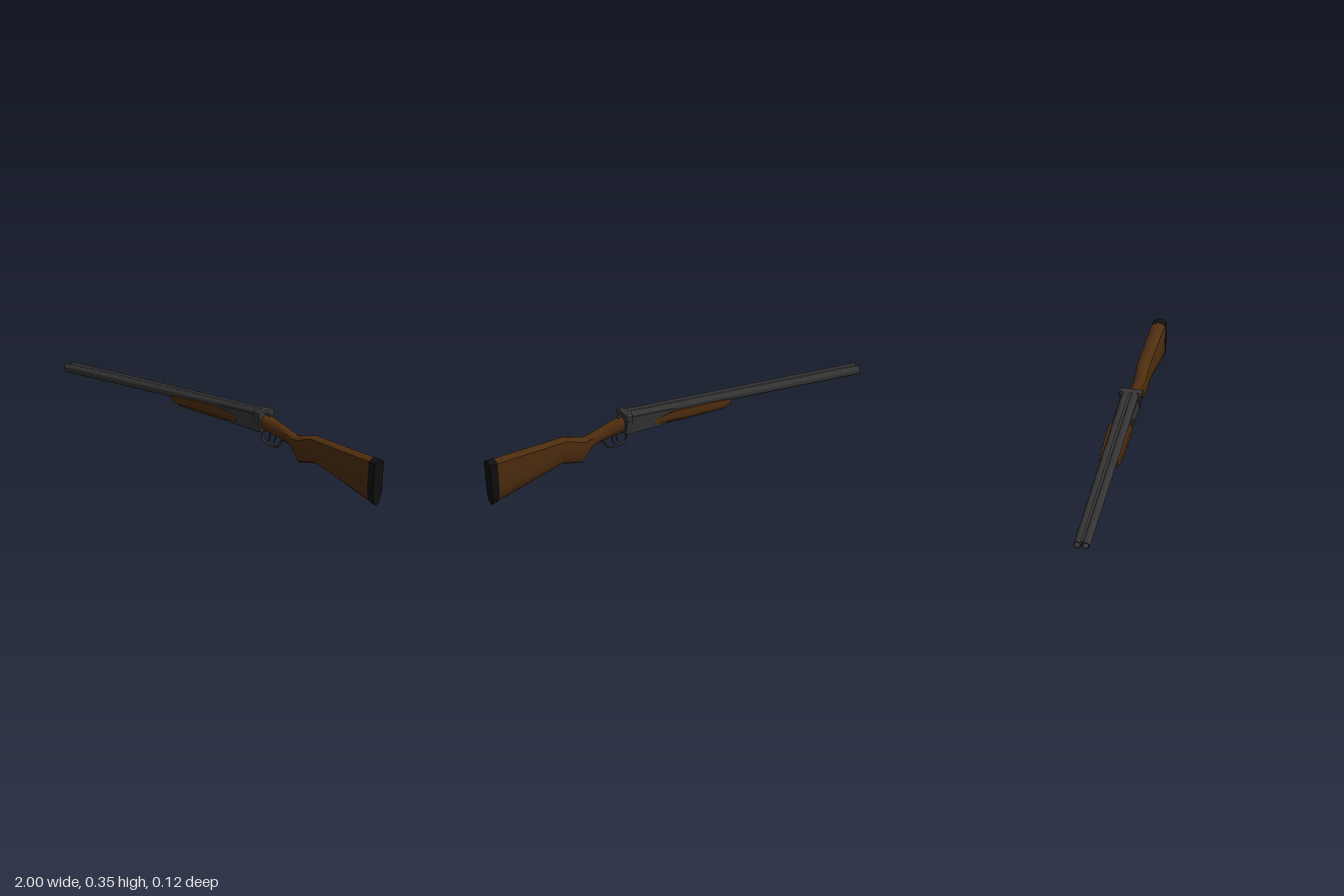
import * as THREE from 'three';
import { toCreasedNormals } from 'three/addons/utils/BufferGeometryUtils.js';

const material = (name, color) => {
  const m = new THREE.MeshStandardMaterial({ color });
  m.name = name;
  return m;
};

// Half outlines as [height 0..1, width 0..1], from the top edge to the bottom edge
const ROUND = Array.from({ length: 7 }, (_, k) => {
  const a = (Math.PI * k) / 6;
  return [0.5 + 0.5 * Math.cos(a), Math.sin(a)];
});
const BUTT = [[1, 0], [0.985, 0.5], [0.94, 1], [0.6, 1], [0.27, 1], [0.08, 0.62], [0, 0]];
const TROUGH = [[1, 0], [1, 0.5], [1, 0.93], [0.75, 1], [0.35, 0.95], [0.05, 0.65], [0, 0]];

// Skin closed sections along x. Station: [x at top, x at bottom, top, bottom, half width, blend]
function loft(stations, from, to) {
  const rings = stations.map(([xt, xb, top, bot, w, blend]) => {
    const half = from.map(([v, u], k) => {
      const h = v + (to[k][0] - v) * blend;
      const s = u + (to[k][1] - u) * blend;
      return new THREE.Vector3(xb + (xt - xb) * h, bot + (top - bot) * h, w * s);
    });
    const mirror = half.slice(1, -1).reverse().map((p) => new THREE.Vector3(p.x, p.y, -p.z));
    return [...half, ...mirror];
  });
  const pos = [];
  const tri = (...pts) => pts.forEach((p) => pos.push(p.x, p.y, p.z));
  const n = rings[0].length;
  for (let i = 0; i < rings.length - 1; i++) {
    for (let j = 0; j < n; j++) {
      const k = (j + 1) % n;
      const [a, b, c, d] = [rings[i][j], rings[i][k], rings[i + 1][j], rings[i + 1][k]];
      tri(a, b, c);
      tri(b, d, c);
    }
  }
  // End caps
  [rings[0], rings[rings.length - 1]].forEach((ring, end) => {
    const mid = ring.reduce((s, p) => s.add(p), new THREE.Vector3()).divideScalar(n);
    for (let j = 0; j < n; j++) {
      const k = (j + 1) % n;
      if (end) tri(mid, ring[j], ring[k]);
      else tri(mid, ring[k], ring[j]);
    }
  });
  const g = new THREE.BufferGeometry();
  g.setAttribute('position', new THREE.Float32BufferAttribute(pos, 3));
  return toCreasedNormals(g, 0.6);
}

const outline = (pts) => new THREE.Shape(pts.map(([x, y]) => new THREE.Vector2(x, y)));

export function createModel() {
  const metal = material('gunmetal', 0x343434);
  const wood = material('walnut', 0x4f2e0f);
  const rubber = material('black rubber', 0x101010);
  const model = new THREE.Group();
  const add = (name, geometry, mat) => {
    const mesh = new THREE.Mesh(geometry, mat);
    mesh.name = name;
    model.add(mesh);
    return mesh;
  };

  // Twin hollow barrels, side by side
  const bore = [[0, 0.05], [0.014, 0.05], [0.014, 0], [0.02, 0], [0.02, 1.25], [0, 1.25]];
  const barrel = toCreasedNormals(
    new THREE.LatheGeometry(bore.map(([r, l]) => new THREE.Vector2(r, -l)).reverse(), 20), 0.6);
  barrel.rotateZ(Math.PI / 2);
  for (const side of [1, -1]) {
    add(side > 0 ? 'frontBarrel' : 'backBarrel', barrel, metal).position.set(-1, 0.335, side * 0.0205);
  }
  // The lathe runs along +x from the muzzle; ribs fill the gap between barrels
  add('topRib', new THREE.BoxGeometry(1.24, 0.008, 0.014), metal).position.set(-0.37, 0.347, 0);
  add('bottomRib', new THREE.BoxGeometry(1.24, 0.008, 0.014), metal).position.set(-0.37, 0.323, 0);

  // Receiver
  const receiver = new THREE.ExtrudeGeometry(
    outline([[0, 0.335], [0, 0.28], [0.08, 0.262], [0.265, 0.25], [0.268, 0.335]]),
    { depth: 0.078, bevelEnabled: true, bevelSize: 0.002, bevelThickness: 0.004, bevelSegments: 1 });
  add('receiver', receiver, metal).position.z = -0.039;

  // Breech block with flared shoulders
  const right = [[0.046, 0.25], [0.053, 0.315], [0.058, 0.326], [0.058, 0.346], [0.046, 0.354]];
  const left = right.map(([z, y]) => [-z, y]).reverse();
  const breech = new THREE.ExtrudeGeometry(outline([...right, ...left]), {
    depth: 0.02, bevelEnabled: true, bevelThickness: 0.009, bevelSize: 0.008, bevelOffset: -0.008, bevelSegments: 2,
  });
  breech.rotateY(Math.PI / 2);
  add('breechBlock', breech, metal).position.x = 0.241;

  // Top lever behind the breech
  const lever = add('topLever', new THREE.BoxGeometry(0.04, 0.008, 0.014), metal);
  lever.position.set(0.275, 0.334, 0);
  lever.rotation.z = -0.3;

  // Fore-end under the barrels
  add('foreEnd', loft([
    [-0.3, -0.295, 0.326, 0.292, 0.046, 0],
    [-0.285, -0.26, 0.33, 0.28, 0.053, 0],
    [-0.15, -0.15, 0.331, 0.272, 0.058, 0],
    [0, 0, 0.328, 0.264, 0.058, 0],
    [0.05, 0.05, 0.315, 0.261, 0.05, 0],
    [0.12, 0.1, 0.295, 0.259, 0.045, 0],
  ], TROUGH, TROUGH), wood);

  // Stock: wrist, pistol grip, comb and butt
  add('stock', loft([
    [0.262, 0.262, 0.336, 0.252, 0.043, 0],
    [0.295, 0.295, 0.325, 0.246, 0.035, 0],
    [0.355, 0.35, 0.304, 0.233, 0.028, 0],
    [0.42, 0.405, 0.278, 0.219, 0.029, 0.1],
    [0.46, 0.437, 0.262, 0.203, 0.03, 0.3],
    [0.485, 0.46, 0.263, 0.165, 0.031, 0.4],
    [0.515, 0.483, 0.27, 0.13, 0.031, 0.6],
    [0.575, 0.595, 0.281, 0.145, 0.031, 0.9],
    [0.957, 0.94, 0.241, 0.015, 0.032, 1],
  ], ROUND, BUTT), wood);

  // Butt pad
  add('buttPad', loft([
    [0.957, 0.94, 0.2415, 0.0145, 0.0325, 1],
    [0.999, 0.976, 0.237, 0.002, 0.0325, 1],
  ], ROUND, BUTT), rubber);

  // Trigger guard and tang
  const path = (pts) => new THREE.CatmullRomCurve3(pts.map(([x, y]) => new THREE.Vector3(x, y, 0)));
  const guard = new THREE.TubeGeometry(path([
    [0.255, 0.252], [0.244, 0.225], [0.252, 0.2], [0.28, 0.184], [0.32, 0.179],
    [0.35, 0.188], [0.362, 0.21], [0.38, 0.224], [0.415, 0.214],
  ]), 40, 0.004, 8);
  guard.scale(1, 1, 2);
  add('triggerGuard', guard, metal);

  // Two triggers
  [0.287, 0.316].forEach((x, i) => {
    const blade = new THREE.TubeGeometry(
      path([[0.006, 0.05], [0.008, 0.03], [0.004, 0.012], [-0.006, 0]]), 10, 0.0035, 6);
    add(i ? 'rearTrigger' : 'frontTrigger', blade, metal).position.set(x, 0.199, i ? -0.005 : 0.005);
  });

  return model;
}
